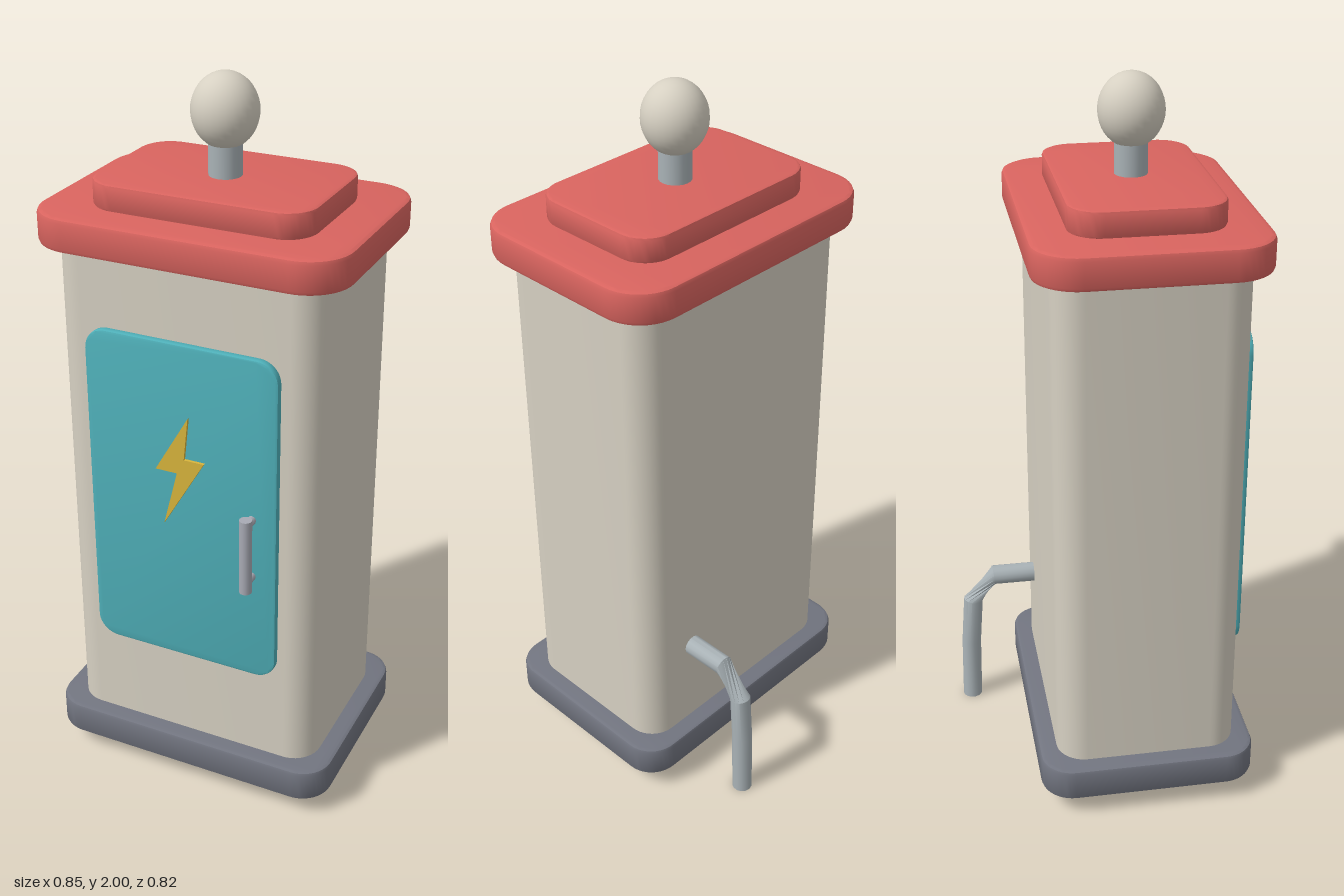
import * as THREE from 'three';
import { toCreasedNormals, mergeVertices } from 'three/addons/utils/BufferGeometryUtils.js';

const CZ = 0.08; // depth centre of the cabinet

function material(name, color, side = THREE.FrontSide) {
  const m = new THREE.MeshStandardMaterial({ color, side });
  m.name = name;
  return m;
}

function roundedRect(w, h, r) {
  const x = w / 2, y = h / 2, s = new THREE.Shape();
  s.moveTo(-x + r, -y);
  s.lineTo(x - r, -y);
  s.absarc(x - r, -y + r, r, -Math.PI / 2, 0);
  s.lineTo(x, y - r);
  s.absarc(x - r, y - r, r, 0, Math.PI / 2);
  s.lineTo(-x + r, y);
  s.absarc(-x + r, y - r, r, Math.PI / 2, Math.PI);
  s.lineTo(-x, -y + r);
  s.absarc(-x + r, -y + r, r, Math.PI, Math.PI * 1.5);
  return s;
}

// Rounded plate from z = 0 to z = t, with softened rims
function plate(w, h, r, t, bevel, curveSegments = 5) {
  const g = new THREE.ExtrudeGeometry(roundedRect(w - 2 * bevel, h - 2 * bevel, r - bevel), {
    depth: t - 2 * bevel, curveSegments, bevelEnabled: bevel > 0,
    bevelSize: bevel, bevelThickness: bevel, bevelSegments: 2,
  });
  g.translate(0, 0, bevel);
  return toCreasedNormals(g, 0.6);
}

// Closed tube through rings [z, y, tilt, twist] lying in one vertical plane
function ringTube(rings, radius, sides) {
  const pos = [], idx = [];
  for (const [z, y, tilt, twist] of rings) {
    for (let i = 0; i < sides; i++) {
      const a = (i / sides) * Math.PI * 2 + twist;
      const v = Math.sin(a) * radius;
      pos.push(Math.cos(a) * radius, y + v * Math.cos(tilt), z - v * Math.sin(tilt));
    }
  }
  for (let k = 0; k < rings.length - 1; k++) {
    for (let i = 0; i < sides; i++) {
      const j = (i + 1) % sides, a = k * sides, b = a + sides;
      idx.push(a + i, a + j, b + j, a + i, b + j, b + i);
    }
  }
  const last = (rings.length - 1) * sides;
  for (let i = 1; i < sides - 1; i++) {
    idx.push(0, i, i + 1, last, last + i + 1, last + i);
  }
  const g = new THREE.BufferGeometry();
  g.setAttribute('position', new THREE.Float32BufferAttribute(pos, 3));
  g.setIndex(idx);
  return toCreasedNormals(g, 0.6);
}

export function createModel() {
  const model = new THREE.Group();
  model.name = 'electricCabinet';

  const cream = material('cream', 0xd6d0c2);
  const red = material('red', 0xd9645f);
  const slate = material('slate', 0x727580);
  const teal = material('teal', 0x4fb0b9);
  const yellow = material('yellow', 0xd9b53c);
  const steel = material('steel', 0xa9b2b6);
  const pipeSteel = material('pipeSteel', 0xa9b2b6, THREE.DoubleSide);
  const handleGrey = material('handleGrey', 0xa8aab4);

  function add(name, geometry, mat, x = 0, y = 0, z = 0, parent = model) {
    const mesh = new THREE.Mesh(geometry, mat);
    mesh.name = name;
    mesh.position.set(x, y, z);
    parent.add(mesh);
    return mesh;
  }

  // Stacked slabs: plinth, body and two-step roof
  function slab(name, mat, w, d, r, y0, y1, bevel) {
    const g = plate(w, d, r, y1 - y0, bevel);
    g.rotateX(-Math.PI / 2);
    return add(name, g, mat, 0, y0, CZ);
  }
  slab('plinth', slate, 0.85, 0.61, 0.09, 0.06, 0.155, 0.01);
  slab('body', cream, 0.744, 0.51, 0.08, 0.15, 1.59, 0);
  slab('roof', red, 0.85, 0.61, 0.12, 1.58, 1.67, 0.012);
  slab('roofStep', red, 0.61, 0.405, 0.085, 1.668, 1.738, 0.008);

  // Finial
  add('finialStem', new THREE.CylinderGeometry(0.044, 0.044, 0.1, 20), steel, 0, 1.78, CZ);
  const ball = add('finialBall', new THREE.SphereGeometry(1, 28, 20), cream, 0, 1.903, CZ);
  ball.scale.set(0.087, 0.097, 0.087);

  // Door with its lightning sign
  add('door', plate(0.544, 0.95, 0.06, 0.024, 0.006), teal, 0, 0.905, 0.332);
  const bolt = new THREE.Shape([
    [0.026, 1.183], [-0.07, 1.016], [-0.008, 1.016],
    [-0.048, 0.857], [0.07, 1.06], [0.013, 1.06],
  ].map(([x, y]) => new THREE.Vector2(x, y)));
  add('lightningSign', new THREE.ExtrudeGeometry(bolt, { depth: 0.009, bevelEnabled: false }),
    yellow, 0, 0, 0.355);

  // Door handle: upright bar on two posts
  const handle = new THREE.Group();
  handle.name = 'doorHandle';
  model.add(handle);
  add('handleBar', new THREE.CylinderGeometry(0.017, 0.017, 0.22, 16), handleGrey,
    0.203, 0.836, 0.394, handle);
  for (const y of [0.925, 0.752]) {
    const g = new THREE.CylinderGeometry(0.012, 0.012, 0.05, 12);
    g.rotateX(Math.PI / 2);
    add('handlePost', g, handleGrey, 0.203, y, 0.37, handle);
  }

  // Rear drain pipe with a twisted elbow
  const twist = -Math.PI / 2;
  const drain = ringTube([
    [-0.16, 0.43, 0, 0],
    [-0.297, 0.43, 0.15, 0],
    [-0.363, 0.35, 1.4, twist],
    [-0.374, 0.2, 1.52, twist],
    [-0.378, 0, Math.PI / 2, twist],
  ], 0.029, 14);
  add('drainPipe', drain, pipeSteel, 0.203);

  return model;
}
